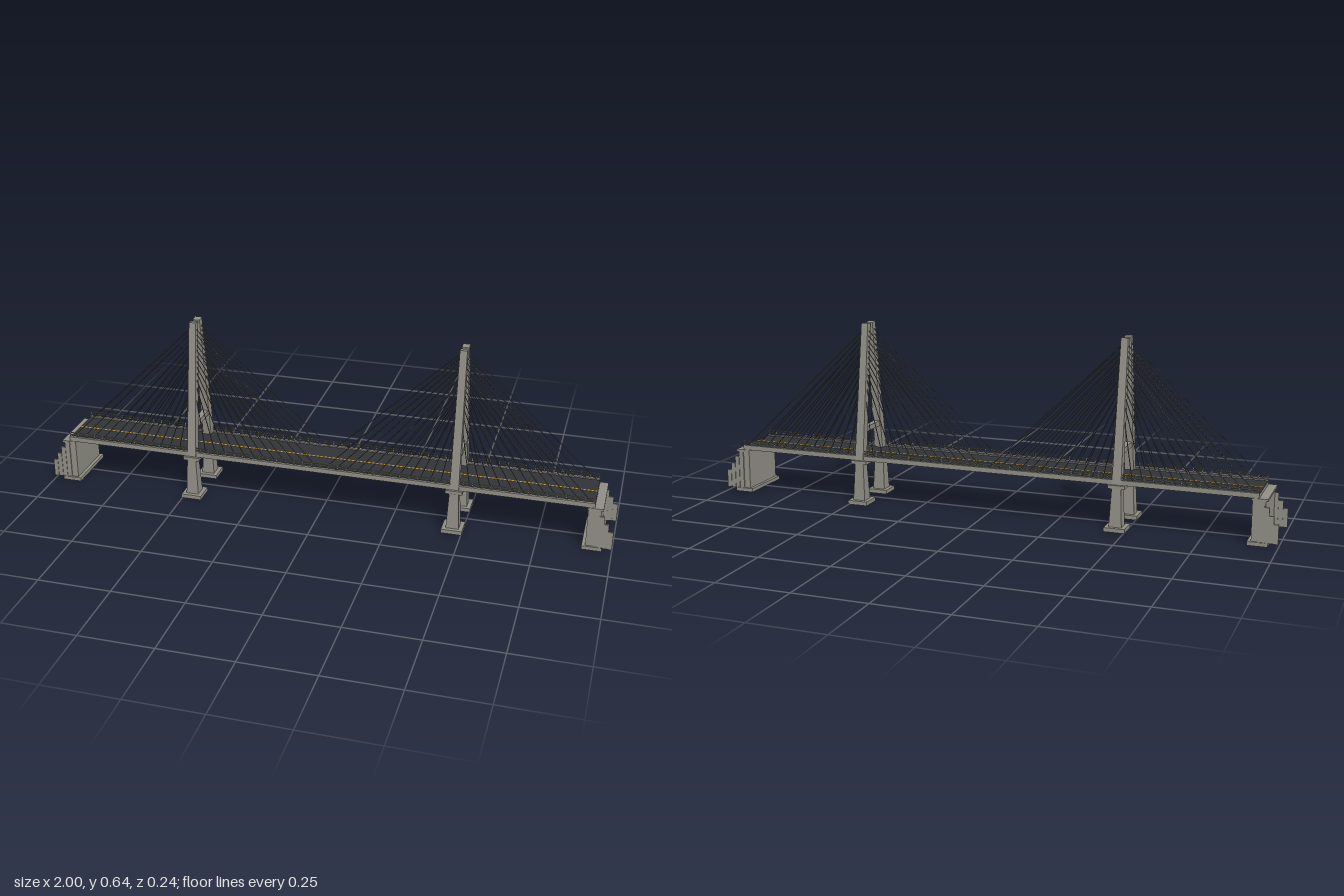
import * as THREE from 'three';
import { mergeGeometries } from 'three/addons/utils/BufferGeometryUtils.js';

const paint = (color) => new THREE.MeshStandardMaterial({ color, flatShading: true });
const concrete = paint(0x8f8d84), asphalt = paint(0x303336), yellow = paint(0xb8923a), steel = paint(0x55544f);

const TOWER_X = 0.467, DECK_BOTTOM = 0.156, DECK_TOP = 0.168;
const LEG_FOOT = { y: 0.158, z: 0.082 }, LEG_HEAD = { y: 0.634, z: 0.0185 };

// Box given by its limits on each axis
function box(x0, x1, y0, y1, z0, z1) {
  return new THREE.BoxGeometry(x1 - x0, y1 - y0, Math.abs(z1 - z0))
    .translate((x0 + x1) / 2, (y0 + y1) / 2, (z0 + z1) / 2);
}

// Bar between two points; four sides give a square section of the given widths
function bar(a, b, widthA, widthB, sides = 4) {
  const dir = b.clone().sub(a);
  const g = new THREE.CylinderGeometry(widthB * Math.SQRT1_2, widthA * Math.SQRT1_2, dir.length(), sides);
  if (sides === 4) g.rotateY(Math.PI / 4);
  g.applyQuaternion(new THREE.Quaternion().setFromUnitVectors(new THREE.Vector3(0, 1, 0), dir.normalize()));
  const mid = a.clone().add(b).multiplyScalar(0.5);
  return g.translate(mid.x, mid.y, mid.z);
}

function add(parent, name, geometries, material = concrete) {
  const list = [].concat(geometries);
  const mesh = new THREE.Mesh(list.length > 1 ? mergeGeometries(list) : list[0], material);
  mesh.name = name;
  parent.add(mesh);
}

// Point on the sloping centre line of a tower leg
function onLeg(x, y, side) {
  const t = (y - LEG_FOOT.y) / (LEG_HEAD.y - LEG_FOOT.y);
  return new THREE.Vector3(x, y, side * THREE.MathUtils.lerp(LEG_FOOT.z, LEG_HEAD.z, t));
}

function createDeck() {
  const deck = new THREE.Group();
  deck.name = 'deck';
  add(deck, 'deckSlab', box(-0.933, 0.933, DECK_BOTTOM, DECK_TOP, -0.094, 0.094));
  add(deck, 'roadSurface', box(-0.933, 0.933, DECK_TOP, 0.1695, -0.082, 0.082), asphalt);
  add(deck, 'centreLine', box(-0.933, 0.933, 0.1695, 0.1705, -0.003, 0.003), yellow);
  for (const s of [-1, 1]) {
    add(deck, 'kerb', box(-0.933, 0.933, DECK_TOP, 0.173, s * 0.084, s * 0.094));
    const rails = [0.181, 0.189].map((y) => box(-0.933, 0.933, y - 0.0012, y + 0.0012, s * 0.0885, s * 0.0915));
    const count = 60;
    for (let i = 0; i <= count; i++) {
      const x = -0.931 + (1.862 * i) / count;
      rails.push(box(x - 0.0015, x + 0.0015, 0.172, 0.19, s * 0.0885, s * 0.0915));
    }
    add(deck, 'railing', rails);
  }
  return deck;
}

function createTower(x) {
  const tower = new THREE.Group();
  tower.name = 'tower';
  for (const s of [-1, 1]) {
    const z = s * 0.082;
    add(tower, 'towerLeg', bar(onLeg(x, LEG_FOOT.y, s), onLeg(x, LEG_HEAD.y, s), 0.031, 0.0245));
    // Pier under each leg
    add(tower, 'pierFooting', box(x - 0.036, x + 0.036, 0, 0.014, z - 0.036, z + 0.036));
    add(tower, 'pier', bar(new THREE.Vector3(x, 0.014, z), new THREE.Vector3(x, 0.146, z), 0.044, 0.031));
    add(tower, 'pierCap', box(x - 0.029, x + 0.029, 0.144, DECK_BOTTOM, z - 0.02, z + 0.02));
    // Stays on both sides of the leg, longest from the top
    const stays = [], count = 12;
    for (let i = 0; i < count; i++) {
      const t = i / (count - 1);
      for (const d of [-1, 1]) {
        const foot = onLeg(x + d * THREE.MathUtils.lerp(0.05, 0.455, t), 0.17, s);
        foot.z = s * 0.084;
        stays.push(bar(foot, onLeg(x, THREE.MathUtils.lerp(0.43, 0.62, t), s), 0.0022, 0.0022, 6));
      }
    }
    add(tower, 'stayCables', stays, steel);
  }
  add(tower, 'upperCrossbeam', box(x - 0.011, x + 0.011, 0.252, 0.27, -0.062, 0.062));
  add(tower, 'lowerCrossbeam', box(x - 0.015, x + 0.015, 0.144, DECK_BOTTOM, -0.098, 0.098));
  return tower;
}

// Built for the +x end; the other end is a half turn
function createAbutment() {
  const abutment = new THREE.Group();
  abutment.name = 'abutment';
  add(abutment, 'abutmentFooting', box(0.9, 0.967, 0, 0.013, -0.1, 0.1));
  add(abutment, 'abutmentWall', box(0.912, 0.955, 0.013, 0.148, -0.093, 0.093));
  add(abutment, 'abutmentCap', box(0.91, 0.962, 0.148, DECK_BOTTOM, -0.096, 0.096));
  // Wing walls step down and splay outward
  const ends = [0.935, 0.952, 0.968, 0.984, 1], tops = [0.155, 0.13, 0.104, 0.078];
  for (const s of [-1, 1]) {
    add(abutment, 'wingWall', tops.map((top, i) =>
      box(ends[i], ends[i + 1], 0.013, top, s * (0.09 + i * 0.002), s * (0.0965 + i * 0.002))));
  }
  return abutment;
}

export function createModel() {
  const bridge = new THREE.Group();
  bridge.name = 'cableStayedBridge';
  bridge.add(createDeck(), createTower(-TOWER_X), createTower(TOWER_X));
  const right = createAbutment();
  right.rotation.y = Math.PI;
  bridge.add(createAbutment(), right);
  return bridge;
}
